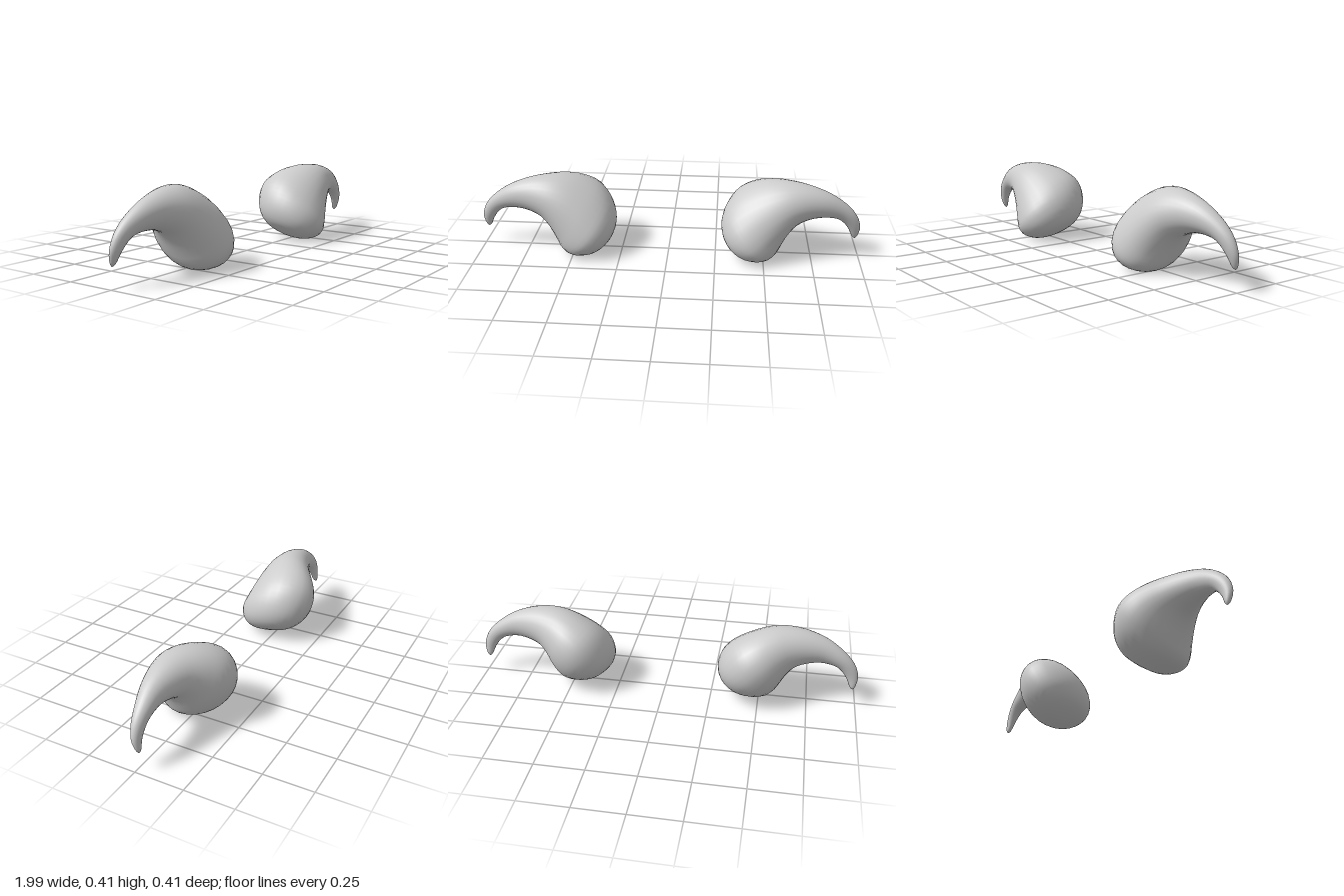
import * as THREE from 'three';
import { mergeVertices } from 'three/addons/utils/BufferGeometryUtils.js';

// Cross-sections from tip to base:
// outer x, outer y, inner x, inner y, centre z, half width in z,
// z lean of the outer edge, y drop of the front edge, inward x shift of the front edge
const SECTIONS = [
  [0.977, 0.100, 0.977, 0.100, -0.014, 0, 0, 0, 0],
  [0.990, 0.122, 0.961, 0.114, -0.010, 0.013, 0, 0, 0],
  [0.997, 0.175, 0.940, 0.158, -0.001, 0.022, 0, 0, 0],
  [0.972, 0.243, 0.910, 0.198, 0.005, 0.031, 0, 0, 0],
  [0.913, 0.307, 0.870, 0.225, 0.010, 0.042, 0, 0, 0],
  [0.825, 0.366, 0.800, 0.235, 0.018, 0.060, 0, 0, 0],
  [0.720, 0.404, 0.730, 0.224, 0.018, 0.086, -0.002, 0, 0],
  [0.620, 0.418, 0.670, 0.196, 0.015, 0.116, -0.008, 0.003, 0.005],
  [0.530, 0.412, 0.630, 0.148, 0.005, 0.148, -0.017, 0.010, 0.010],
  [0.440, 0.384, 0.600, 0.092, -0.003, 0.177, -0.032, 0.018, 0.020],
  [0.360, 0.338, 0.573, 0.044, -0.003, 0.194, -0.045, 0.020, 0.026],
  [0.307, 0.270, 0.530, 0.013, 0.004, 0.192, -0.047, 0.014, 0.030],
  [0.282, 0.190, 0.460, 0.006, 0.005, 0.155, -0.040, 0.010, 0.026],
  [0.292, 0.118, 0.395, 0.022, 0.005, 0.092, -0.024, 0.006, 0.015],
  [0.332, 0.064, 0.332, 0.064, 0.005, 0, 0, 0, 0],
];
const RINGS = 42;
const SIDES = 28;

function hornGeometry(side) {
  const smooth = (pick) => new THREE.CatmullRomCurve3(
    SECTIONS.map((s) => new THREE.Vector3(...pick(s))), false, 'catmullrom', 0.5);
  const centre = smooth(([ox, oy, ix, iy, z]) => [(ox + ix) / 2, (oy + iy) / 2, z]);
  const across = smooth(([ox, oy, ix, iy, , , lean]) => [(ox - ix) / 2, (oy - iy) / 2, lean]);
  const width = smooth(([, , , , , h, , drop, shift]) => [-shift, -drop, h]);

  const positions = [];
  const index = [];
  for (let i = 0; i <= RINGS; i++) {
    const t = i / RINGS;
    const c = centre.getPoint(t), a = across.getPoint(t), b = width.getPoint(t);
    for (let j = 0; j < SIDES; j++) {
      const angle = (j / SIDES) * Math.PI * 2;
      const p = c.clone().addScaledVector(a, Math.cos(angle)).addScaledVector(b, Math.sin(angle));
      positions.push(p.x * side, Math.max(p.y, 0), p.z);
      if (i === RINGS) continue;
      const p0 = i * SIDES + j, p1 = i * SIDES + ((j + 1) % SIDES);
      const q0 = p0 + SIDES, q1 = p1 + SIDES;
      // the first and last rings close to a point, so they need one triangle per side
      const triangles = [];
      if (i > 0) triangles.push([p0, q0, p1]);
      if (i < RINGS - 1) triangles.push([p1, q0, q1]);
      for (const [u, v, w] of triangles) index.push(...(side > 0 ? [u, v, w] : [u, w, v]));
    }
  }
  const geometry = new THREE.BufferGeometry();
  geometry.setAttribute('position', new THREE.Float32BufferAttribute(positions, 3));
  geometry.setIndex(index);
  const merged = mergeVertices(geometry, 1e-5);
  merged.computeVertexNormals();
  return merged;
}

export function createModel() {
  const group = new THREE.Group();
  group.name = 'hornPair';
  const material = new THREE.MeshStandardMaterial({ color: 0xcccccc });
  // mirrored pair of curved horns
  for (const [name, side] of [['leftHorn', 1], ['rightHorn', -1]]) {
    const horn = new THREE.Mesh(hornGeometry(side), material);
    horn.name = name;
    group.add(horn);
  }
  return group;
}
